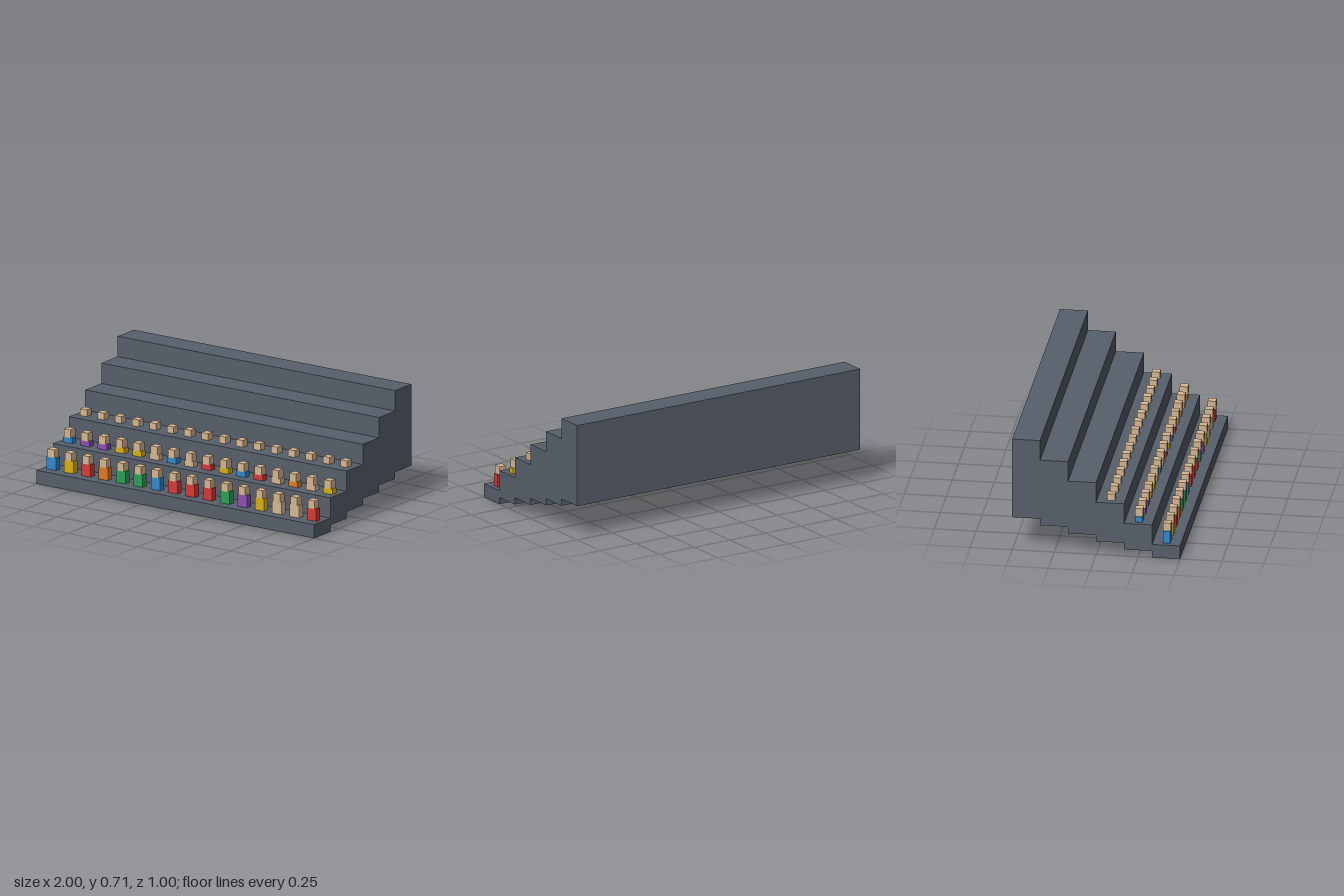
import * as THREE from 'three';

const material = (name, color) => {
  const m = new THREE.MeshStandardMaterial({ color });
  m.name = name;
  return m;
};

export function createModel() {
  const group = new THREE.Group();
  group.name = 'grandstand';
  const concrete = material('concrete', 0x575f6b);
  const skin = material('skin', 0xd6b692);
  const shirts = {
    r: material('red', 0xd63a35),
    o: material('orange', 0xd97a25),
    y: material('yellow', 0xd9b013),
    g: material('green', 0x2ba055),
    b: material('blue', 0x3289cc),
    p: material('purple', 0x8e4fb5),
    s: skin,
  };

  const box = (name, mat, w, h, d, x, y, z, parent = group) => {
    const mesh = new THREE.Mesh(new THREE.BoxGeometry(w, h, d), mat);
    mesh.name = name;
    mesh.position.set(x, y, z);
    parent.add(mesh);
  };

  // Six tiers, each one taller and higher than the tier in front
  const u = 1 / 12;
  const tierZ = (i) => 0.5 - u - i * 2 * u;
  for (let i = 0; i < 6; i++) {
    const h = (1 + i) * u;
    box('tier', concrete, 2, h, 2 * u, 0, i * u / 2 + h / 2, tierZ(i));
  }

  // Spectators sink deeper into the tiers towards the back; s is a bare body
  const rows = ['byroggbrrrgpyssr', 'bppyysbsrybrsosy', ''];
  rows.forEach((row, i) => {
    const floor = (1 + 1.5 * i) * u;
    const neck = (1.9 + i) * u;
    for (let k = 0; k < 16; k++) {
      const spectator = new THREE.Group();
      spectator.name = 'spectator';
      spectator.position.set(-0.9375 + 0.125 * k, 0, tierZ(i));
      if (row[k]) {
        const h = neck - floor;
        box('body', shirts[row[k]], 0.8 * u, h, 0.5 * u, 0, floor + h / 2, 0, spectator);
      }
      box('head', skin, 0.58 * u, 0.6 * u, 0.58 * u, 0, neck + 0.3 * u, 0, spectator);
      group.add(spectator);
    }
  });
  return group;
}
